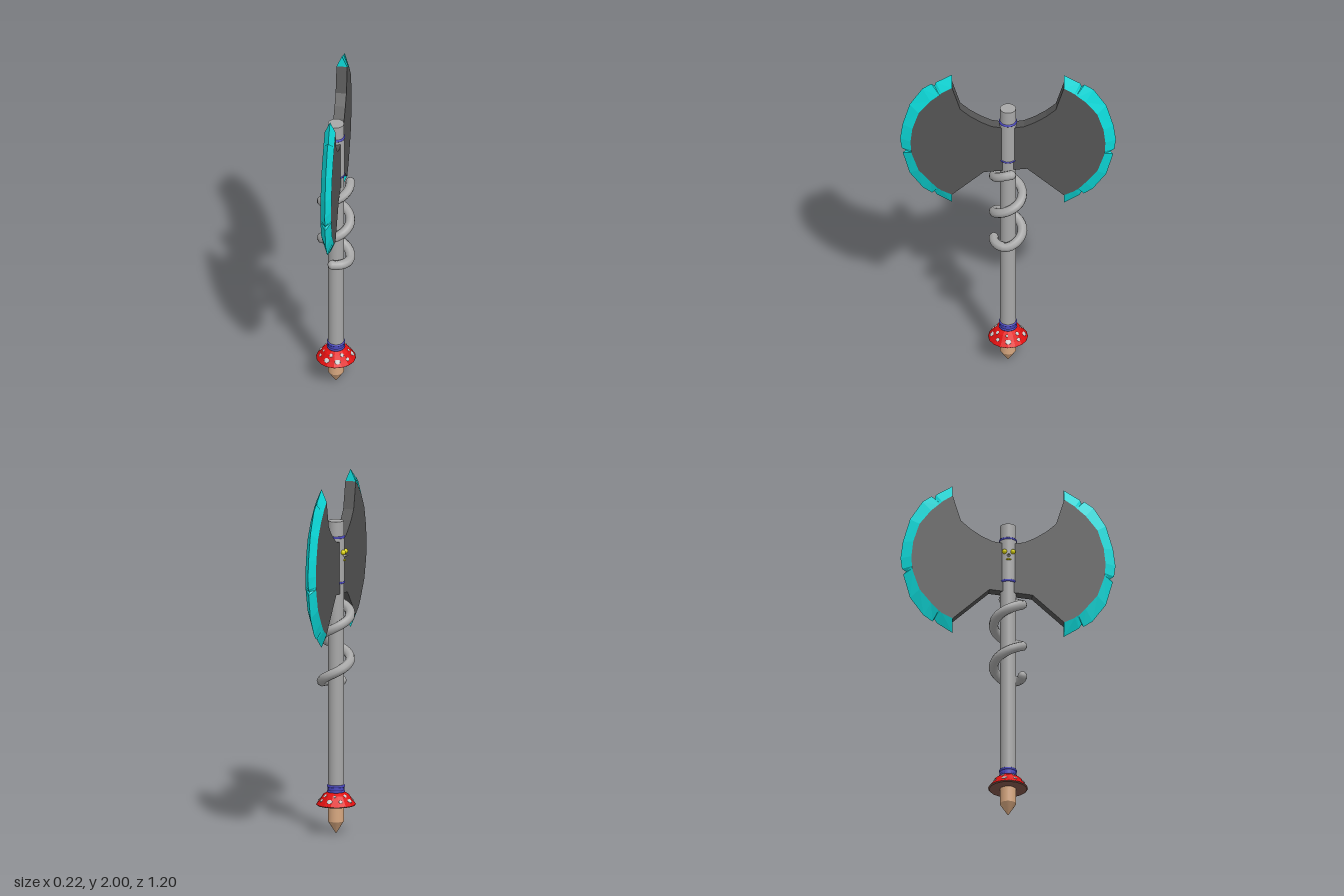
import * as THREE from 'three';

const mat = (color, extra = {}) => new THREE.MeshStandardMaterial({ color, ...extra });
const steel = mat(0xa8a8a8), dark = mat(0x555555, { flatShading: true }), blue = mat(0x4a48c0);
const cyan = mat(0x0cdada, { flatShading: true, side: THREE.DoubleSide });
const red = mat(0xe01010, { flatShading: true }), brown = mat(0x80564a);
const wood = mat(0xd8a880), yellow = mat(0xe0d810), pale = mat(0xcccccc);

// Edge section pairs from upper to lower tip: outer z, outer y, inner z, inner y
const EDGE = [
  [0.31, 2.0, 0.31, 1.93], [0.4, 1.945, 0.37, 1.89], [0.408, 1.922, 0.38, 1.88],
  [0.425, 1.935, 0.39, 1.87], [0.475, 1.9, 0.43, 1.835], [0.545, 1.79, 0.495, 1.75],
  [0.585, 1.65, 0.53, 1.64], [0.598, 1.55, 0.54, 1.55], [0.59, 1.485, 0.537, 1.49],
  [0.567, 1.468, 0.535, 1.475], [0.583, 1.45, 0.532, 1.46], [0.545, 1.31, 0.495, 1.35],
  [0.47, 1.205, 0.43, 1.27], [0.42, 1.17, 0.39, 1.225], [0.41, 1.185, 0.38, 1.22],
  [0.395, 1.16, 0.37, 1.21], [0.31, 1.105, 0.31, 1.18]
];
// Concave inner curve of the upper half, from the tip to the shaft
const CURVE = [[0.265, 1.78], [0.21, 1.73], [0.15, 1.69], [0.09, 1.66], [0, 1.645]];
const HALF = 0.03, MID = 1.553;

function createModel() {
  const model = new THREE.Group();
  const add = (name, geometry, material, x = 0, y = 0, z = 0) => {
    const mesh = new THREE.Mesh(geometry, material);
    mesh.name = name;
    mesh.position.set(x, y, z);
    model.add(mesh);
    return mesh;
  };
  const rod = (name, rTop, rBottom, y0, y1, material, sides = 20) =>
    add(name, new THREE.CylinderGeometry(rTop, rBottom, y1 - y0, sides), material, 0, (y0 + y1) / 2);

  // Shaft, head sleeve and pointed wooden foot
  rod('shaft', 0.044, 0.044, 0.2, 1.765, steel);
  rod('headSleeve', 0.048, 0.048, 1.42, 1.68, steel);
  rod('woodenStem', 0.045, 0.045, 0.07, 0.2, wood);
  rod('woodenPoint', 0.045, 0, 0, 0.07, wood);

  // Blue bands
  rod('lowerCollar', 0.046, 0.046, 0.225, 0.275, blue);
  for (const y of [0.24, 0.27, 1.42, 1.675]) {
    const ring = add('band', new THREE.TorusGeometry(0.044, 0.007, 8, 24), blue, 0, y);
    ring.rotation.x = Math.PI / 2;
  }

  // Spotted mushroom cap
  const capProfile = [[0.111, 0.165], [0.092, 0.19], [0.072, 0.22], [0.044, 0.238]];
  add('mushroomCap', new THREE.LatheGeometry(capProfile.map(p => new THREE.Vector2(...p)), 16), red);
  rod('capUnderside', 0.111, 0.105, 0.16, 0.166, brown, 16);
  const addSpots = (count, radius, y, size, offset) => {
    for (let i = 0; i < count; i++) {
      const a = (i / count) * Math.PI * 2 + offset;
      const s = size * (i % 2 ? 0.75 : 1.1);
      const spot = add('capSpot', new THREE.SphereGeometry(1, 10, 6), pale,
        radius * Math.sin(a), y, radius * Math.cos(a));
      spot.scale.set(s, s, 0.004);
      spot.rotation.set(-0.88, a, 0, 'YXZ');
    }
  };
  addSpots(9, 0.089, 0.193, 0.015, 0.2);
  addSpots(7, 0.07, 0.219, 0.01, 0.6);

  // Vine: a flat first quarter turn, two climbing turns, a short flat end
  const vine = [];
  for (let a = -0.55 * Math.PI; a <= 4.12 * Math.PI; a += Math.PI / 8) {
    const t = THREE.MathUtils.clamp(a / (Math.PI * 2), 0, 2);
    vine.push(new THREE.Vector3(0.08 * Math.cos(a), 0.85 + 0.253 * t, -0.08 * Math.sin(a)));
  }
  add('vine', new THREE.TubeGeometry(new THREE.CatmullRomCurve3(vine), 56, 0.027, 8), steel);
  for (const end of [vine[0], vine[vine.length - 1]])
    add('vineEnd', new THREE.SphereGeometry(0.027, 8, 6), steel, end.x, end.y, end.z);

  // Dark double blade slab
  const inner = EDGE.map(e => [e[2], e[3]]);
  const lower = CURVE.map(([z, y]) => [z, 2 * MID - y]).reverse();
  const front = [...CURVE.slice().reverse(), ...inner, ...lower];
  const back = front.slice(1, -1).reverse().map(([z, y]) => [-z, y]);
  const outline = new THREE.Shape([...front, ...back].map(p => new THREE.Vector2(...p)));
  const slab = new THREE.ExtrudeGeometry(outline, { depth: 2 * HALF, bevelEnabled: false });
  slab.translate(0, 0, -HALF).rotateY(-Math.PI / 2);
  add('bladeBody', slab, dark);

  // Wedge shaped cutting edges, chipped along the rim
  for (const s of [1, -1]) {
    const v = [];
    const outer = e => [0, e[1], s * e[0]];
    const root = (e, side) => [side * HALF, e[3], s * e[2]];
    const tri = (flip, a, b, c) => v.push(...a, ...(flip ? c : b), ...(flip ? b : c));
    for (let i = 0; i < EDGE.length - 1; i++) {
      const p = EDGE[i], q = EDGE[i + 1];
      for (const side of [1, -1]) {
        const flip = s * side < 0;
        tri(flip, root(p, side), outer(p), outer(q));
        tri(flip, root(p, side), outer(q), root(q, side));
      }
    }
    const first = EDGE[0], last = EDGE[EDGE.length - 1];
    tri(s < 0, root(first, 1), root(first, -1), outer(first));
    tri(s > 0, root(last, 1), root(last, -1), outer(last));
    const edge = new THREE.BufferGeometry();
    edge.setAttribute('position', new THREE.Float32BufferAttribute(v, 3));
    edge.computeVertexNormals();
    add(s > 0 ? 'frontCuttingEdge' : 'backCuttingEdge', edge, cyan);
  }

  // Small face ornament on the right of the sleeve
  for (const s of [1, -1])
    add('ornamentEye', new THREE.SphereGeometry(0.014, 10, 8), yellow, -0.048, 1.592, s * 0.024);
  const nose = add('ornamentNose', new THREE.ConeGeometry(0.012, 0.03, 8), steel, -0.057, 1.57, 0);
  nose.rotation.z = Math.PI / 2;
  const mouth = add('ornamentMouth', new THREE.SphereGeometry(0.01, 8, 6), yellow, -0.047, 1.545, 0);
  mouth.scale.set(1, 0.6, 1.5);

  return model;
}

export { createModel };
